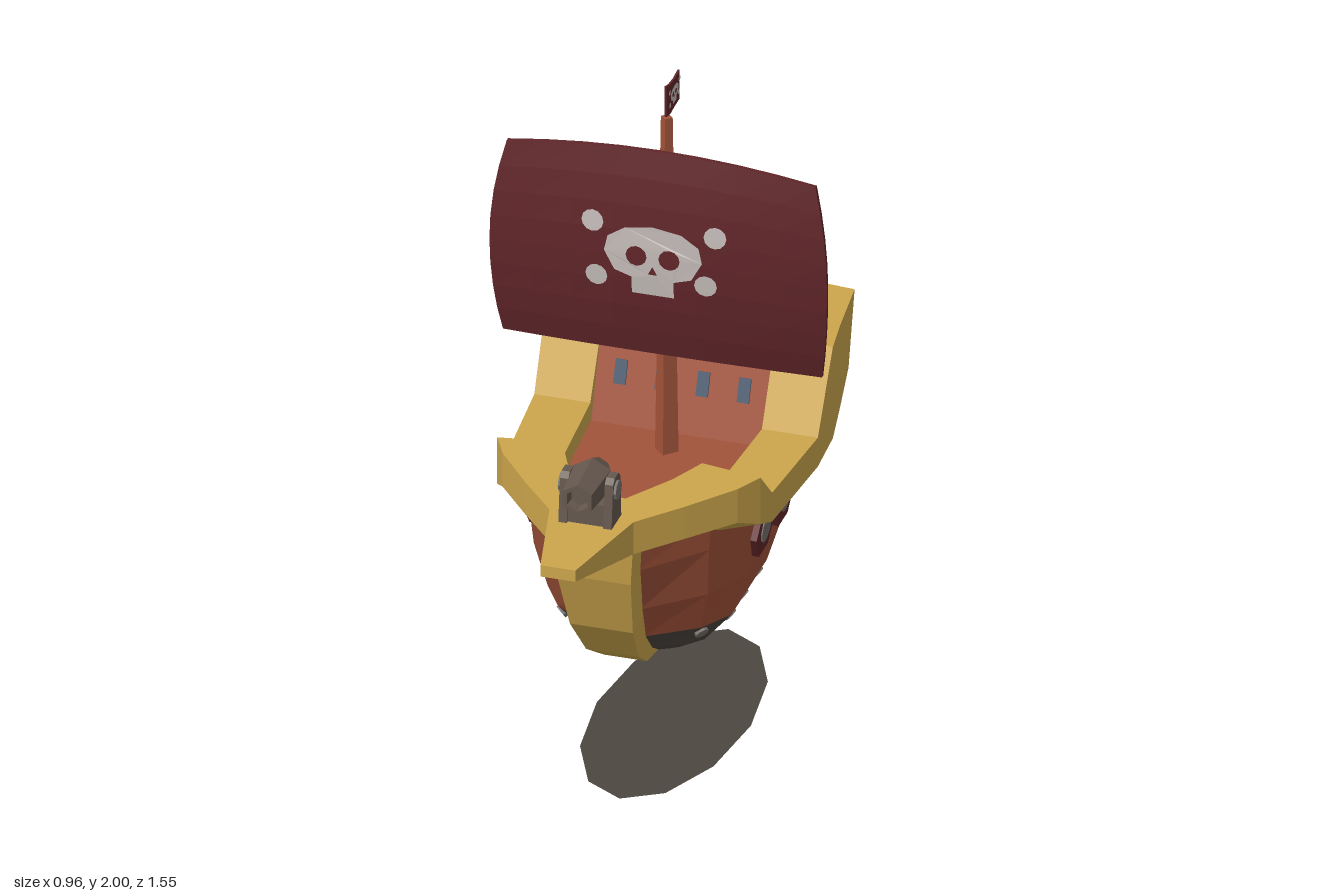
import * as THREE from 'three';

const mat = (name, color) => {
  const m = new THREE.MeshStandardMaterial({ color, flatShading: true, side: THREE.DoubleSide });
  m.name = name;
  return m;
};
const V = (x, y, z) => new THREE.Vector3(x, y, z);

// Faceted skin through rings of equal length, wound outwards; end caps optional
function loft(rings, capStart = true, capEnd = true) {
  const tris = [], n = rings[0].length;
  for (let i = 0; i + 1 < rings.length; i++) {
    for (let j = 0; j < n; j++) {
      const k = (j + 1) % n, a = rings[i], b = rings[i + 1];
      tris.push([a[j], a[k], b[k]], [a[j], b[k], b[j]]);
    }
  }
  for (let j = 1; j + 1 < n; j++) {
    const a = rings[0], b = rings[rings.length - 1];
    if (capStart) tris.push([a[0], a[j + 1], a[j]]);
    if (capEnd) tris.push([b[0], b[j], b[j + 1]]);
  }
  const mid = new THREE.Box3().setFromPoints(rings.flat()).getCenter(V(0, 0, 0));
  let volume = 0;
  for (const [a, b, c] of tris) {
    volume += a.clone().sub(mid).dot(b.clone().sub(mid).cross(c.clone().sub(mid)));
  }
  const pts = tris.flatMap(([a, b, c]) => (volume < 0 ? [a, c, b] : [a, b, c]));
  const g = new THREE.BufferGeometry().setFromPoints(pts);
  g.computeVertexNormals();
  return g;
}

// Thin pane on the face a-b (bottom) / d-c (top), between fractions u0..u1, v0..v1
function pane([a, b, c, d], u0, u1, v0, v1) {
  const normal = b.clone().sub(a).cross(d.clone().sub(a)).normalize();
  const at = (u, v, off) => a.clone().lerp(b, u).lerp(d.clone().lerp(c, u), v).addScaledVector(normal, off);
  const ring = off => [at(u0, v0, off), at(u1, v0, off), at(u1, v1, off), at(u0, v1, off)];
  return loft([ring(-0.002), ring(0.005)]);
}

// Skull and four bone ends, drawn flat
function skullGeometry() {
  const half = [[0.06, 1.41], [0.06, 1.46], [0.11, 1.475], [0.14, 1.53], [0.13, 1.575], [0.08, 1.608]];
  const outline = [...half, [0, 1.62], ...half.slice().reverse().map(([x, y]) => [-x, y])];
  const skull = new THREE.Shape(outline.map(([x, y]) => new THREE.Vector2(x, y)));
  for (const s of [-1, 1]) {
    skull.holes.push(new THREE.Path().absarc(s * 0.047, 1.527, 0.03, 0, Math.PI * 2, true));
  }
  skull.holes.push(new THREE.Path([[0, 1.5], [0.013, 1.475], [-0.013, 1.475]].map(p => new THREE.Vector2(...p))));
  const bones = [[-0.175, 1.612], [0.175, 1.612], [-0.162, 1.448], [0.15, 1.462]].map(([x, y]) =>
    new THREE.Shape().absarc(x, y, 0.032, 0, Math.PI * 2, false));
  return new THREE.ShapeGeometry([skull, ...bones], 6);
}

export function createModel() {
  const ship = new THREE.Group();
  ship.name = 'ship';
  const wood = mat('red brown wood', 0xa2533a), trim = mat('yellow trim', 0xcca64c);
  const tar = mat('dark tar', 0x4d4640), cloth = mat('dark red', 0x602529);
  const bone = mat('bone white', 0xc2bab7), glass = mat('blue glass', 0x4a5a70);
  const iron = mat('cannon iron', 0x66584e), rivet = mat('grey metal', 0x77726f);
  const add = (name, geometry, material, x = 0, y = 0, z = 0, parent = ship) => {
    const m = new THREE.Mesh(geometry, material);
    m.name = name;
    m.position.set(x, y, z);
    parent.add(m);
    return m;
  };

  // Hull rings: height, half width, bow z, stern z, bow half width, stern squareness
  const hull = [
    [0.37, 0.10, 0.02, -0.28, 0.05, 0.4], [0.43, 0.185, 0.12, -0.40, 0.055, 0.45],
    [0.52, 0.262, 0.22, -0.52, 0.07, 0.55], [0.65, 0.303, 0.30, -0.61, 0.085, 0.68],
    [0.81, 0.322, 0.37, -0.645, 0.1, 0.85], [0.92, 0.333, 0.39, -0.66, 0.11, 0.93],
  ].map(([y, w, zf, zb, k, q]) => {
    const za = Math.min(0.03, zf - 0.03), zc = Math.max(-0.29, zb + 0.03);
    const side = [[k, zf], [w * 0.78, (za + zf) / 2], [w, za], [w, zc],
      [w * (0.5 + q / 2), (zc + zb) / 2], [w * q, zb + 0.06 * w]];
    return [...side.map(([x, z]) => V(x, y, z)), V(0, y, zb),
      ...side.reverse().map(([x, z]) => V(-x, y, z))];
  });
  add('hullBottom', loft(hull.slice(0, 3), true, false), tar);
  add('hullSides', loft(hull.slice(2), false, false), wood);

  // Keel band: outer z, y, inner z, y, half width
  add('keel', loft([
    [0.47, 0.93, 0.36, 0.93, 0.118], [0.45, 0.81, 0.34, 0.81, 0.106], [0.38, 0.62, 0.27, 0.65, 0.09],
    [0.28, 0.49, 0.18, 0.53, 0.075], [0.16, 0.41, 0.08, 0.45, 0.062], [0, 0.368, -0.02, 0.4, 0.05],
  ].map(([z, y, zi, yi, w]) => [V(w, y, z), V(-w, y, z), V(-w, yi, zi), V(w, yi, zi)])), trim);

  // Bulwark stations: z, outer x, top y, bottom y, inner x, inner z, bottom lean
  const stations = [
    [0.775, 0.05, 1.02, 0.985, 0], [0.47, 0.12, 1.02, 0.92, 0], [0.35, 0.225, 1.02, 0.92, 0],
    [0.35, 0.225, 1.02, 0.92, 0.06], [0.21, 0.335, 1.02, 0.915, 0.15], [0.13, 0.376, 1.02, 0.875, 0.2, 0.1],
    [0.03, 0.378, 0.92, 0.83, 0.225, 0.015], [-0.3, 0.405, 0.92, 0.83, 0.245],
    [-0.42, 0.41, 1.14, 0.855, 0.245], [-0.54, 0.393, 1.14, 0.885, 0.245],
    [-0.54, 0.393, 1.14, 0.885, 0, -0.55], [-0.745, 0.37, 1.14, 0.925, 0, -0.777, 0.055],
  ];
  for (const s of [-1, 1]) {
    add('bulwark', loft(stations.map(([z, xo, yt, yb, xi, zi = z, lean = 0]) => [
      V(s * xo, yt, z), V(s * xi, yt, zi), V(s * xi, xi ? 0.84 : yb, zi + lean), V(s * xo, yb, z + lean)])), trim);
  }

  // Deck and raised stern cabin
  const edge = [[0.25, -0.54], [0.25, -0.3], [0.23, 0.015], [0.205, 0.1], [0.155, 0.21], [0.065, 0.352]];
  const deck = new THREE.Shape([...edge, ...edge.map(([x, z]) => [-x, z]).reverse()]
    .map(([x, z]) => new THREE.Vector2(x, -z)));
  add('deck', new THREE.ShapeGeometry(deck).rotateX(-Math.PI / 2), wood, 0, 0.86);
  const cabin = [[-0.555, 0.85], [-0.305, 0.85], [-0.39, 1.08], [-0.555, 1.08]];
  add('cabin', loft([-0.246, 0.246].map(x => cabin.map(([z, y]) => V(x, y, z)))), wood);

  // Cabin and stern windows
  const cabinFace = [V(-0.245, 0.85, -0.305), V(0.245, 0.85, -0.305), V(0.245, 1.08, -0.39), V(-0.245, 1.08, -0.39)];
  for (let i = 0; i < 4; i++) {
    const u = 0.14 + i * 0.24;
    add('cabinWindow', pane(cabinFace, u - 0.035, u + 0.035, 0.5, 0.78), glass);
  }
  for (const s of [-1, 1]) {
    const side = [V(s * 0.37, 0.925, -0.69), V(s * 0.37, 1.14, -0.745)];
    const mid = [V(0, 0.925, -0.722), V(0, 1.14, -0.777)];
    const face = s > 0 ? [side[0], mid[0], mid[1], side[1]] : [mid[0], side[0], side[1], mid[1]];
    for (let i = 0; i < 7; i++) {
      const u = 0.05 + i * 0.132;
      add('sternWindow', pane(face, u, u + 0.105, 0.2, 0.82), glass);
    }
  }

  // Portholes and rivets on both sides
  for (const s of [-1, 1]) {
    for (const z of [-0.05, -0.23]) {
      const port = new THREE.Group();
      port.name = 'porthole';
      port.position.set(s * 0.312, 0.763, z);
      port.rotation.z = s * -0.1;
      ship.add(port);
      add('portholeFrame', new THREE.CylinderGeometry(0.083, 0.083, 0.045, 6).rotateZ(Math.PI / 2), cloth, 0, 0, 0, port);
      add('portholeCover', new THREE.CylinderGeometry(0.042, 0.042, 0.052, 10).rotateZ(Math.PI / 2), rivet, 0, 0, 0, port);
    }
    for (const [z, x, nz] of [[0.1, 0.197, 0.6], [-0.02, 0.24, 0], [-0.135, 0.24, 0], [-0.265, 0.24, 0]]) {
      const m = add('rivet', new THREE.CylinderGeometry(0.02, 0.02, 0.014, 8), rivet, s * x, 0.493, z);
      m.quaternion.setFromUnitVectors(V(0, 1, 0), V(s * 0.75, -0.66, nz).normalize());
    }
  }

  // Mast
  add('mast', new THREE.CylinderGeometry(0.017, 0.034, 1.05, 4), wood, 0, 1.375, -0.215);

  // Billowing sail, with the emblem laid on both faces
  const sailZ = (x, y) => -0.097 - 0.045 * (x / 0.48) ** 2 - 0.045 * ((y - 1.5) / 0.32) ** 2;
  const sail = new THREE.BoxGeometry(2, 2, 0.012, 8, 8, 1), sp = sail.attributes.position;
  for (let i = 0; i < sp.count; i++) {
    const u = sp.getX(i), v = sp.getY(i);
    const x = u * 0.482 * (1 - (v > 0 ? 0.085 : 0.055) * v * v);
    const y = THREE.MathUtils.lerp(1.205 - 0.022 * u * u, 1.83 - 0.05 * u * u, (v + 1) / 2);
    sp.setXYZ(i, x, y, sailZ(x, y) + sp.getZ(i));
  }
  sail.computeVertexNormals();
  add('sail', sail, cloth);
  for (const off of [0.013, -0.01]) {
    const g = skullGeometry(), p = g.attributes.position;
    for (let i = 0; i < p.count; i++) p.setZ(i, sailZ(p.getX(i), p.getY(i)) + off);
    g.computeVertexNormals();
    add('sailEmblem', g, bone);
  }

  // Small flag above the mast
  const flag = [[-0.205, 1.905, 2.0], [-0.235, 1.897, 1.99], [-0.28, 1.9, 1.985], [-0.322, 1.9, 1.99]];
  add('flag', loft(flag.map(([z, lo, hi]) => [V(0.003, lo, z), V(0.003, hi, z), V(-0.003, hi, z), V(-0.003, lo, z)])), cloth);
  for (const s of [-1, 1]) {
    const g = skullGeometry().translate(0, -1.52, 0).scale(0.25, 0.25, 1).rotateY(s * Math.PI / 2);
    add('flagEmblem', g, bone, s * 0.006, 1.947, -0.268);
  }

  // Bow cannon on two brackets
  const barrel = [[0, 0.4], [0.03, 0.4], [0.06, 0.46], [0.048, 0.6], [0.034, 0.6], [0.03, 0.57], [0, 0.57]];
  add('cannonBarrel', new THREE.LatheGeometry(barrel.map(([r, y]) => new THREE.Vector2(r, y - 0.5)), 6)
    .rotateX(Math.PI / 2), iron, 0, 1.136, 0.5);
  add('cannonBase', new THREE.BoxGeometry(0.11, 0.07, 0.07), iron, 0, 1.05, 0.485);
  for (const s of [-1, 1]) {
    const bracket = [[0.44, 1.015], [0.53, 1.015], [0.515, 1.15], [0.5, 1.165], [0.465, 1.165], [0.45, 1.15]];
    add('cannonBracket', loft([0.052, 0.076].map(x => bracket.map(([z, y]) => V(s * x, y, z)))), iron);
    add('cannonPivot', new THREE.CylinderGeometry(0.028, 0.028, 0.012, 8).rotateZ(Math.PI / 2), rivet, s * 0.077, 1.123, 0.485);
  }

  // Flat dark disc on the ground
  add('groundDisc', new THREE.CircleGeometry(1, 12).rotateX(-Math.PI / 2).scale(0.22, 1, 0.495), tar, 0, 0, -0.28);
  return ship;
}
